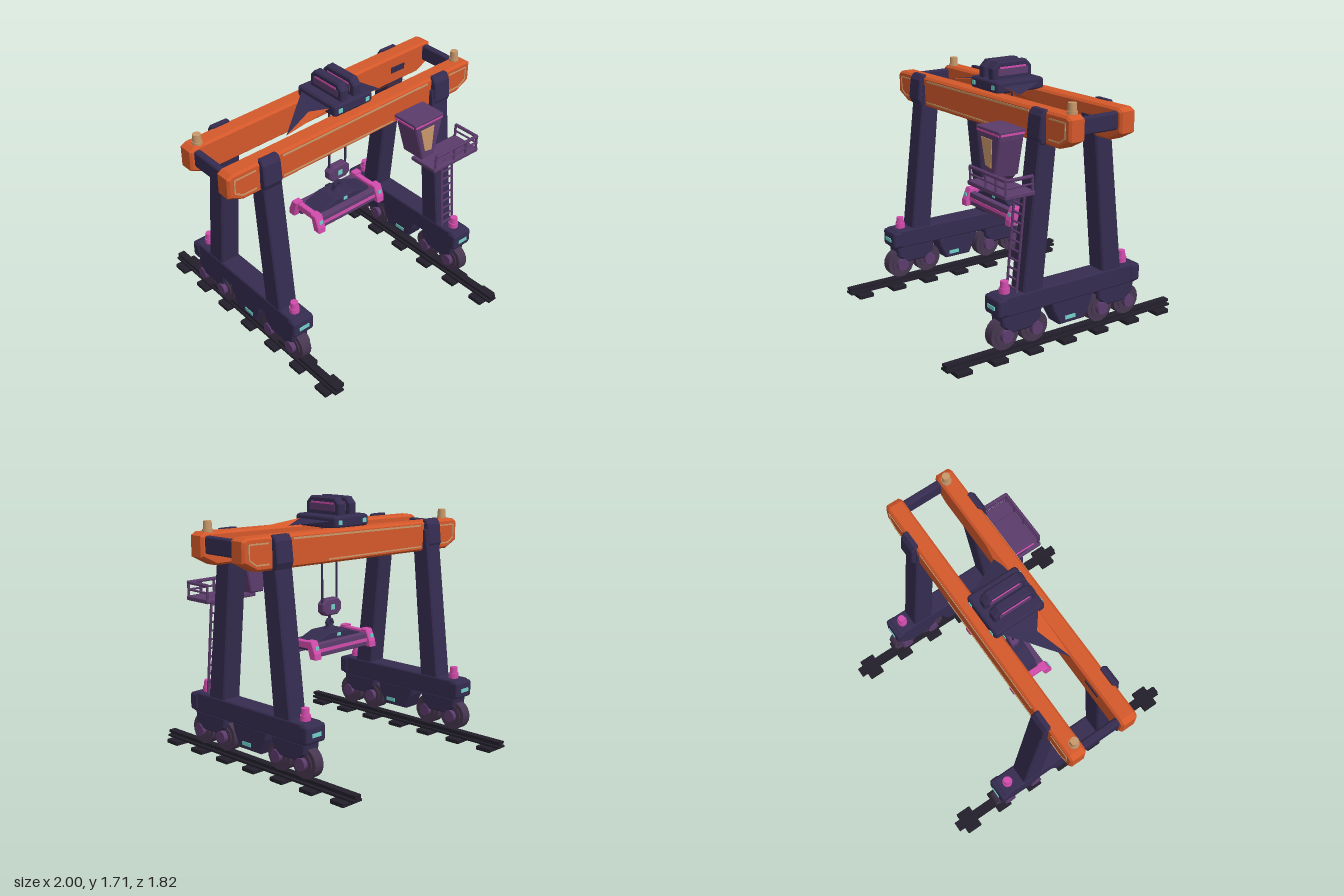
import * as THREE from 'three';
import { RoundedBoxGeometry } from 'three/addons/geometries/RoundedBoxGeometry.js';

const mat = (name, color, side = THREE.FrontSide) => {
  const m = new THREE.MeshStandardMaterial({ color, side });
  m.name = name;
  return m;
};

export function createModel() {
  const navy = mat('navy steel', 0x352c50, THREE.DoubleSide);
  const orange = mat('orange paint', 0xd4582a, THREE.DoubleSide);
  const purple = mat('purple steel', 0x5c3c6c);
  const magenta = mat('magenta paint', 0xd24cac);
  const cyan = mat('cyan lamp', 0x70d0c8);
  const tan = mat('tan trim', 0xc8986a);
  const black = mat('rail black', 0x231f2b);
  const tyre = mat('wheel dark', 0x46364f);

  const root = new THREE.Group();
  root.name = 'gantryCrane';
  const group = (name, parent = root) => {
    const g = new THREE.Group();
    g.name = name;
    parent.add(g);
    return g;
  };
  const add = (parent, name, geo, m, x = 0, y = 0, z = 0) => {
    const mesh = new THREE.Mesh(geo, m);
    mesh.name = name;
    mesh.position.set(x, y, z);
    parent.add(mesh);
    return mesh;
  };
  const box = (p, name, m, w, h, d, x, y, z) => add(p, name, new THREE.BoxGeometry(w, h, d), m, x, y, z);
  const soft = (p, name, m, w, h, d, x, y, z, r = 0.015) =>
    add(p, name, new RoundedBoxGeometry(w, h, d, 1, r), m, x, y, z);
  const rod = (p, name, m, a, b, r, sides = 6) => {
    const A = new THREE.Vector3(...a), B = new THREE.Vector3(...b);
    const mesh = add(p, name, new THREE.CylinderGeometry(r, r, A.distanceTo(B), sides), m);
    mesh.position.copy(A).add(B).multiplyScalar(0.5);
    mesh.quaternion.setFromUnitVectors(new THREE.Vector3(0, 1, 0), B.sub(A).normalize());
    return mesh;
  };
  // Bevelled prism of an outline, centred on its depth; alongX maps the outline to (z, y)
  const prism = (pts, depth, bevel = 0.01, alongX = false) => {
    const shape = new THREE.Shape(pts.map(([u, v]) => new THREE.Vector2(u, v)));
    const geo = new THREE.ExtrudeGeometry(shape, {
      depth: depth - 2 * bevel, bevelEnabled: bevel > 0, bevelSize: bevel,
      bevelThickness: bevel, bevelOffset: -bevel, bevelSegments: 1,
    });
    geo.translate(0, 0, bevel - depth / 2);
    return alongX ? geo.rotateY(-Math.PI / 2) : geo;
  };
  const sheet = (pts) => {
    const geo = new THREE.BufferGeometry();
    geo.setAttribute('position', new THREE.Float32BufferAttribute(pts.flat(), 3));
    geo.computeVertexNormals();
    return geo;
  };

  // Two main girders, gently rising toward +x
  const slope = 0.022;
  const lift = (x, y) => [x, y + slope * x];
  const outline = [[-1, 1.37], [-0.89, 1.32], [0.89, 1.32], [1, 1.375], [1, 1.505], [0.965, 1.525],
    [-0.965, 1.525], [-1, 1.505]].map(([x, y]) => lift(x, y));
  for (const s of [1, -1]) {
    const g = group(s > 0 ? 'frontGirder' : 'backGirder');
    add(g, 'girderBeam', prism(outline, 0.115, 0.014), orange, 0, 0, s * 0.187);
    const trim = (a, b, t = 0.009) => {
      const [x1, y1] = lift(...a), [x2, y2] = lift(...b);
      const m = box(g, 'girderTrim', tan, Math.hypot(x2 - x1, y2 - y1), t, 0.005, (x1 + x2) / 2, (y1 + y2) / 2, s * 0.246);
      m.rotation.z = Math.atan2(y2 - y1, x2 - x1);
    };
    trim([-0.6, 1.497], [0.6, 1.499], 0.012);
    trim([-0.6, 1.352], [0.3, 1.346]);
    for (const e of [1, -1]) {
      trim([e * 0.8, 1.485], [e * 0.955, 1.485]);
      trim([e * 0.955, 1.485], [e * 0.955, 1.395]);
      trim([e * 0.955, 1.395], [e * 0.9, 1.36]);
      trim([e * 0.9, 1.36], [e * 0.8, 1.36]);
    }
  }
  for (const s of [1, -1]) {
    const dy = slope * s;
    soft(root, 'endCrossBeam', navy, 0.05, 0.11, 0.28, s * 0.95, 1.45 + dy, 0);
    add(root, 'beaconBase', new THREE.CylinderGeometry(0.033, 0.033, 0.02, 12), tan, s * 0.92, 1.53 + dy, s * 0.17);
    add(root, 'warningBeacon', new THREE.CylinderGeometry(0.026, 0.029, 0.06, 12), tan, s * 0.92, 1.56 + dy, s * 0.17);
  }

  // Side frames: legs, sill, bogies and rail
  for (const s of [1, -1]) {
    const g = group(s > 0 ? 'leftSideFrame' : 'rightSideFrame');
    const X = s * 0.695, off = s * 0.025, dy = slope * s;
    for (const e of [1, -1]) {
      const leg = [[0.235, 0.42], [0.385, 0.42], [0.262, 1.46], [0.135, 1.46]].map(([z, y]) => [e * z + off * 0.4, y]);
      add(g, 'leg', prism(leg, 0.14, 0.01, true), navy, X);
      const cap = [[0.225, 1.33], [0.275, 1.33], [0.292, 1.37], [0.278, 1.5], [0.255, 1.535], [0.225, 1.535]]
        .map(([z, y]) => [e * z, y + dy * 0.5]);
      add(g, 'legCap', prism(cap, 0.135, 0.008, true), navy, s * 0.705);

      soft(g, 'sillEnd', navy, 0.165, 0.12, 0.08, X, 0.37, e * 0.515 + off, 0.02);
      box(g, 'sillLamp', cyan, 0.075, 0.025, 0.008, X, 0.367, e * 0.557 + off);
      add(g, 'sillBeaconBase', new THREE.CylinderGeometry(0.034, 0.034, 0.035, 12), magenta, X, 0.455, e * 0.46 + off);
      add(g, 'sillBeacon', new THREE.CylinderGeometry(0.025, 0.028, 0.05, 12), magenta, X, 0.49, e * 0.46 + off);

      // Bogie with two wheels
      const b = group('bogie', g);
      b.position.set(X, 0, e * 0.37 + off);
      add(b, 'bogieFrame', prism([[-0.15, 0.31], [-0.14, 0.24], [-0.08, 0.19], [0.08, 0.19], [0.14, 0.24], [0.15, 0.31]],
        0.13, 0.01, true), navy);
      for (const w of [-0.11, 0.11]) {
        const wheel = add(b, 'wheel', new THREE.CylinderGeometry(0.1, 0.1, 0.07, 20), tyre, 0, 0.177, w);
        const rim = add(b, 'wheelRim', new THREE.CylinderGeometry(0.07, 0.07, 0.084, 16), tyre, 0, 0.177, w);
        const hub = add(b, 'wheelHub', new THREE.CylinderGeometry(0.042, 0.042, 0.145, 12), purple, 0, 0.177, w);
        for (const m of [wheel, rim, hub]) m.rotation.z = Math.PI / 2;
      }
    }
    soft(g, 'sillBeam', navy, 0.15, 0.135, 1.06, X, 0.37, off);
    add(g, 'driveBox', prism([[-0.165, 0.31], [-0.15, 0.25], [-0.1, 0.15], [0.1, 0.15], [0.15, 0.25], [0.165, 0.31]],
      0.13, 0.01, true), navy, X, 0, off * 0.3);
    for (const e of [1, -1]) box(g, 'driveBoxLamp', cyan, 0.008, 0.025, 0.08, X + e * 0.066, 0.19, 0.03);

    // Rail on sleepers
    const T = s * 0.685, t = group('track', g);
    box(t, 'railFoot', black, 0.07, 0.014, 1.77, T, 0.036, off);
    box(t, 'railWeb', black, 0.025, 0.03, 1.77, T, 0.05, off);
    box(t, 'railHead', black, 0.05, 0.018, 1.77, T, 0.064, off);
    for (let i = -3; i <= 3; i++) soft(t, 'sleeper', black, 0.16, 0.03, 0.11, T, 0.015, i * 0.262 + off, 0.006);
  }

  // Trolley with two winch housings
  const trolley = group('trolley');
  soft(trolley, 'trolleyBody', navy, 0.315, 0.08, 0.365, 0.017, 1.56, 0, 0.02);
  const fin = [[-0.14, 1.59], [-0.14, 1.67], [-0.1, 1.712], [0.12, 1.712], [0.162, 1.67], [0.162, 1.59]];
  for (const x of [-0.038, 0.065]) {
    add(trolley, 'winchHousing', prism(fin, 0.064, 0.01, true), navy, x);
    for (const e of [1, -1]) {
      box(trolley, 'winchPanel', purple, 0.006, 0.045, 0.23, x + e * 0.033, 1.645, 0.01);
      box(trolley, 'winchStripe', magenta, 0.006, 0.012, 0.2, x + e * 0.033, 1.673, 0.01);
    }
  }
  for (const x of [-0.095, 0.128]) for (const e of [1, -1])
    box(trolley, 'trolleyLamp', cyan, 0.03, 0.028, 0.006, x, 1.56, e * 0.185);
  const p = [-0.48, 1.515, 0.13], q = [-0.14, 1.57, 0.13], r = [-0.24, 1.55, 0.05], t = [-0.14, 1.57, -0.14];
  add(trolley, 'orangeFairing', sheet([p, q, r]), orange);
  add(trolley, 'navyFairing', sheet([p, r, t, r, q, t]), navy);
  add(trolley, 'sideFairing', sheet([[0.17, 1.57, 0.13], [0.31, 1.53, 0.12], [0.17, 1.57, -0.15]]), navy);
  add(trolley, 'sideFairingEdge', sheet([[0.17, 1.57, 0.14], [0.52, 1.54, 0.14], [0.31, 1.53, 0.11]]), orange);

  // Hoist cables, hook block and hook
  const hoist = group('hoist');
  for (const x of [-0.042, 0.095]) rod(hoist, 'cable', navy, [x, 0.98, 0.015], [x, 1.53, 0.015], 0.008);
  const block = [[-0.068, 0.95], [-0.035, 0.92], [0.075, 0.92], [0.108, 0.95], [0.108, 1.0], [0.075, 1.032],
    [-0.035, 1.032], [-0.068, 1.0]];
  add(hoist, 'hookBlock', prism(block, 0.06, 0.008), purple, 0, 0, 0.02);
  for (const e of [1, -1]) box(hoist, 'blockLamp', cyan, 0.035, 0.035, 0.006, 0.02, 0.976, 0.02 + e * 0.031);
  rod(hoist, 'hookShank', navy, [0.02, 0.8, 0.02], [0.02, 0.93, 0.02], 0.009);
  add(hoist, 'hook', new THREE.TorusGeometry(0.022, 0.014, 8, 16), navy, 0.02, 0.865, 0.02);

  // Spreader
  const spreader = group('spreader');
  spreader.position.set(0.018, 0, 0.022);
  add(spreader, 'spreaderRoof', prism([[-0.23, 0.765], [0.23, 0.765], [0.09, 0.822], [-0.09, 0.822]], 0.17, 0.008), navy);
  box(spreader, 'spreaderCore', navy, 0.46, 0.06, 0.12, 0, 0.745, 0);
  add(spreader, 'hookSeat', new THREE.CylinderGeometry(0.02, 0.045, 0.035, 12), navy, 0, 0.835, 0);
  for (const e of [1, -1]) {
    soft(spreader, 'spreaderBeam', purple, 0.5, 0.09, 0.05, 0, 0.73, e * 0.1, 0.008);
    box(spreader, 'spreaderStripe', magenta, 0.46, 0.022, 0.006, 0, 0.728, e * 0.127);
    box(spreader, 'spreaderLamp', cyan, 0.03, 0.022, 0.006, 0, 0.8, e * 0.087);
    soft(spreader, 'spreaderEndBar', magenta, 0.04, 0.05, 0.24, e * 0.255, 0.765, 0, 0.008);
    for (const f of [1, -1]) {
      const foot = [[0.07, 0.8], [0.12, 0.8], [0.155, 0.72], [0.158, 0.68], [0.105, 0.68], [0.09, 0.73]].map(([z, y]) => [f * z, y]);
      add(spreader, 'cornerFoot', prism(foot, 0.062, 0.006, true), magenta, e * 0.262);
      box(spreader, 'cornerLamp', cyan, 0.028, 0.025, 0.006, e * 0.262, 0.755, f * 0.144);
    }
  }

  // Operator cabin
  const cabin = group('cabin');
  const shell = [[0.4, 1.1], [0.505, 1.1], [0.56, 1.335], [0.565, 1.385], [0.315, 1.385], [0.33, 1.335]];
  add(cabin, 'cabinShell', prism(shell, 0.18, 0.008), purple, 0, 0, 0.34);
  soft(cabin, 'cabinRoof', purple, 0.255, 0.024, 0.195, 0.44, 1.386, 0.338, 0.008);
  box(cabin, 'cabinStripe', magenta, 0.235, 0.012, 0.008, 0.44, 1.373, 0.433);
  for (const x of [0.311, 0.569]) box(cabin, 'cabinSideStripe', magenta, 0.006, 0.012, 0.17, x, 1.373, 0.338);
  const glass = [[0.415, 1.165], [0.475, 1.155], [0.487, 1.335], [0.37, 1.335]];
  add(cabin, 'cabinWindow', prism(glass, 0.008, 0), tan, 0, 0, 0.431);

  // Access platform with railing
  const platform = group('platform');
  soft(platform, 'platformDeck', purple, 0.41, 0.03, 0.215, 0.597, 1.07, 0.443, 0.008);
  const xs = [0.41, 0.58, 0.69, 0.79];
  for (const x of xs) rod(platform, 'railingPost', purple, [x, 1.08, 0.54], [x, 1.172, 0.54], 0.009);
  rod(platform, 'railingPost', purple, [0.79, 1.08, 0.35], [0.79, 1.172, 0.35], 0.009);
  for (const y of [1.125, 1.172]) {
    rod(platform, 'handrail', purple, [0.41, y, 0.54], [0.795, y, 0.54], y > 1.15 ? 0.012 : 0.007);
    rod(platform, 'sideHandrail', purple, [0.79, y, 0.54], [0.79, y, 0.35], y > 1.15 ? 0.012 : 0.007);
  }

  // Ladder down to the sill
  const ladder = group('ladder');
  for (const x of [0.64, 0.742]) rod(ladder, 'ladderRail', purple, [x, 0.43, 0.43], [x, 1.07, 0.37], 0.009);
  for (let i = 0; i < 11; i++) {
    const k = (i + 0.5) / 11;
    rod(ladder, 'ladderRung', purple, [0.64, 0.43 + 0.64 * k, 0.43 - 0.06 * k], [0.742, 0.43 + 0.64 * k, 0.43 - 0.06 * k], 0.007);
  }
  return root;
}
